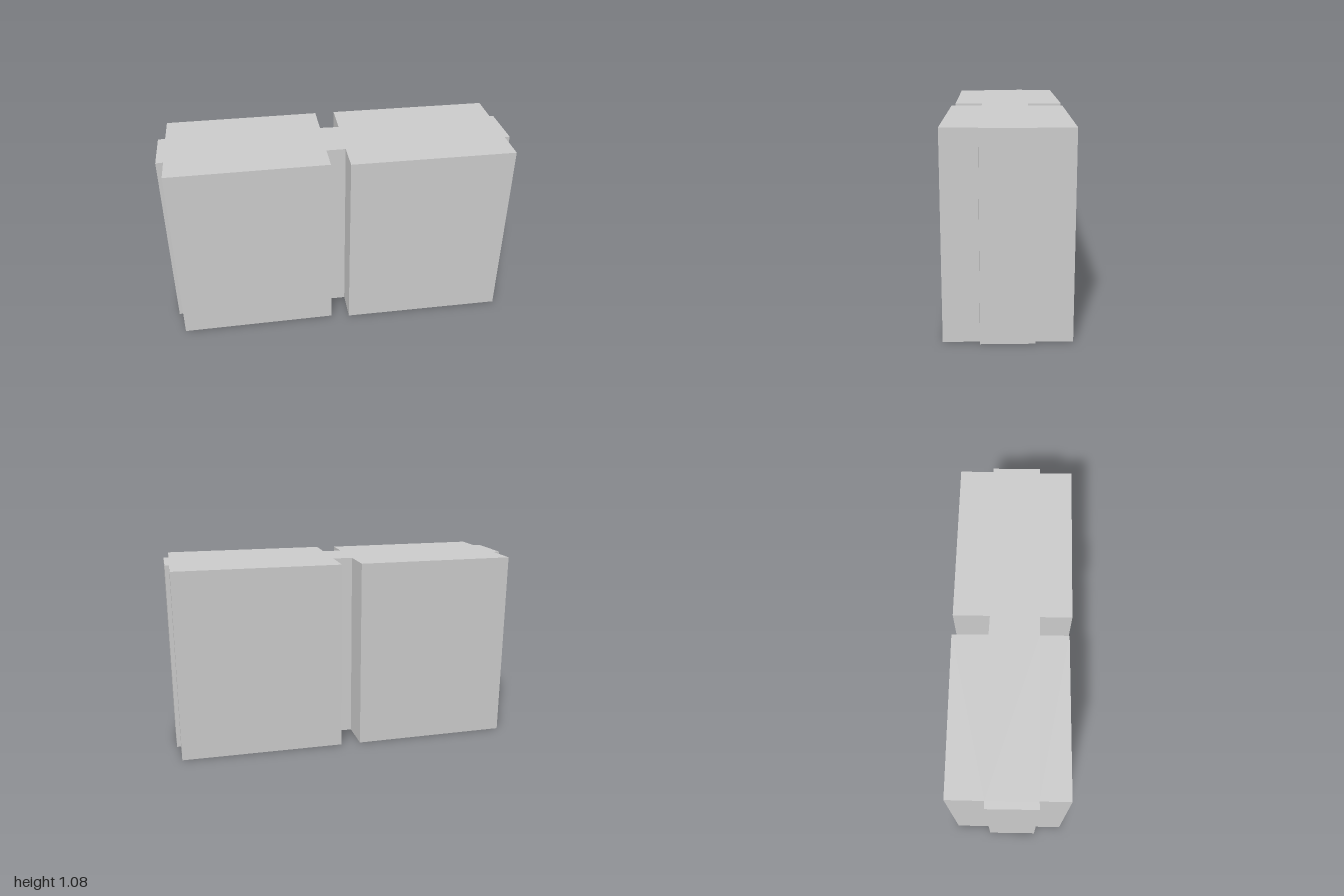
import * as THREE from 'three';

const HEIGHT = 1.075;

// Footprint corners as [x, z], starting at the back right and going round.
const footprint = [
  // back wall of the right block, recess, back wall of the left block
  [-0.967, -0.288], [-0.08, -0.325], [-0.07, -0.125],
  [0.04, -0.125], [0.032, -0.328], [0.955, -0.357],
  // left end with its shallow projecting bay
  [0.963, -0.168], [0.986, -0.169], [1.0, 0.105], [0.97, 0.108], [0.979, 0.293],
  // front wall of the left block, recess, front wall of the right block
  [0.055, 0.325], [0.048, 0.148], [-0.06, 0.152], [-0.052, 0.313], [-0.94, 0.354],
  // right end with its shallow projecting bay
  [-0.947, 0.19], [-0.988, 0.195], [-1.0, -0.083], [-0.96, -0.085],
];

export function createModel() {
  const group = new THREE.Group();
  group.name = 'building';

  // Flat-roofed building: the footprint raised to its full height.
  const shape = new THREE.Shape(footprint.map(([x, z]) => new THREE.Vector2(x, -z)));
  const geometry = new THREE.ExtrudeGeometry(shape, { depth: HEIGHT, bevelEnabled: false });
  geometry.rotateX(-Math.PI / 2);

  const block = new THREE.Mesh(
    geometry,
    new THREE.MeshStandardMaterial({ color: 0xcccccc, flatShading: true })
  );
  block.name = 'buildingBlock';
  group.add(block);
  return group;
}
